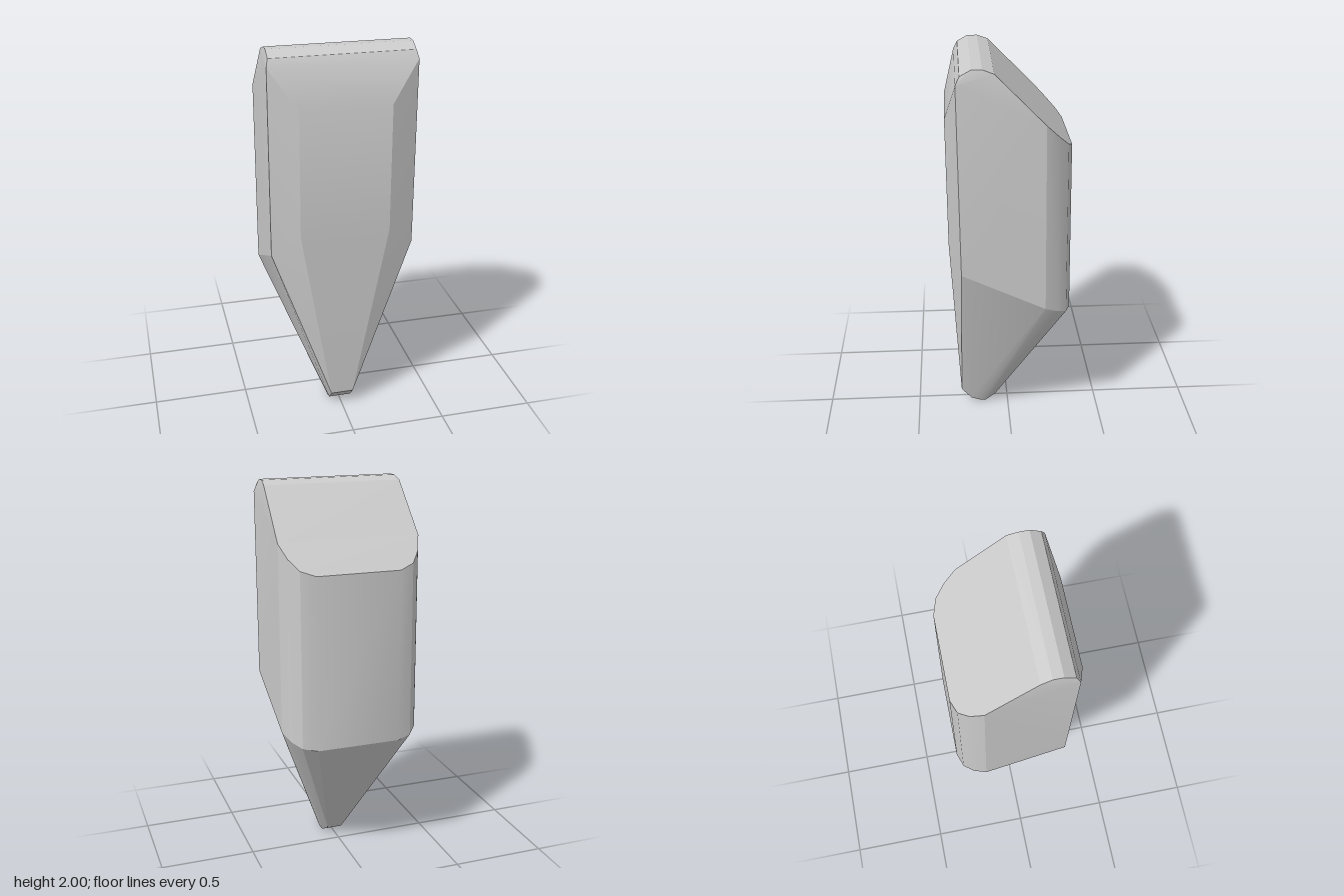
import * as THREE from 'three';
import { ConvexGeometry } from 'three/addons/geometries/ConvexGeometry.js';
import { toCreasedNormals } from 'three/addons/utils/BufferGeometryUtils.js';

export function createModel() {
  const group = new THREE.Group();
  const points = [];
  const addPair = (x, y, z) => {
    points.push(new THREE.Vector3(x, y, z), new THREE.Vector3(-x, y, z));
  };

  // Rounded ridge along the top
  const ridge = [[0.37, 1.93, 0.26], [0.36, 1.97, 0.24], [0.36, 2, 0.185], [0.36, 2, 0.135], [0.365, 1.98, 0.08]];
  ridge.forEach(p => addPair(...p));

  // Raised front panel and the lower front corners
  addPair(0.23, 1.73, 0.315);
  addPair(0.23, 1.07, 0.31);
  addPair(0.37, 0.96, 0.25);

  // Rounded back corners, cut by the sloping top and the sloping shoulder
  const corner = [[0.37, -0.165], [0.34, -0.23], [0.295, -0.28], [0.22, -0.305]];
  for (const [x, z] of corner) {
    addPair(x, 1.9 + 1.02 * z, z);
    addPair(x, 0.838 + 0.49 * z, z - 0.01);
  }

  // Narrow blunt tip
  const tip = [[0.06, 0.08, 0.26], [0.06, 0.02, 0.205], [0.06, 0.005, 0.16], [0.055, 0, 0.125], [0.04, 0.03, 0.07]];
  tip.forEach(p => addPair(...p));

  const body = new THREE.Mesh(
    toCreasedNormals(new ConvexGeometry(points), 0.33),
    new THREE.MeshStandardMaterial({ color: 0xcccccc })
  );
  body.name = 'taperedBody';
  group.add(body);
  return group;
}
